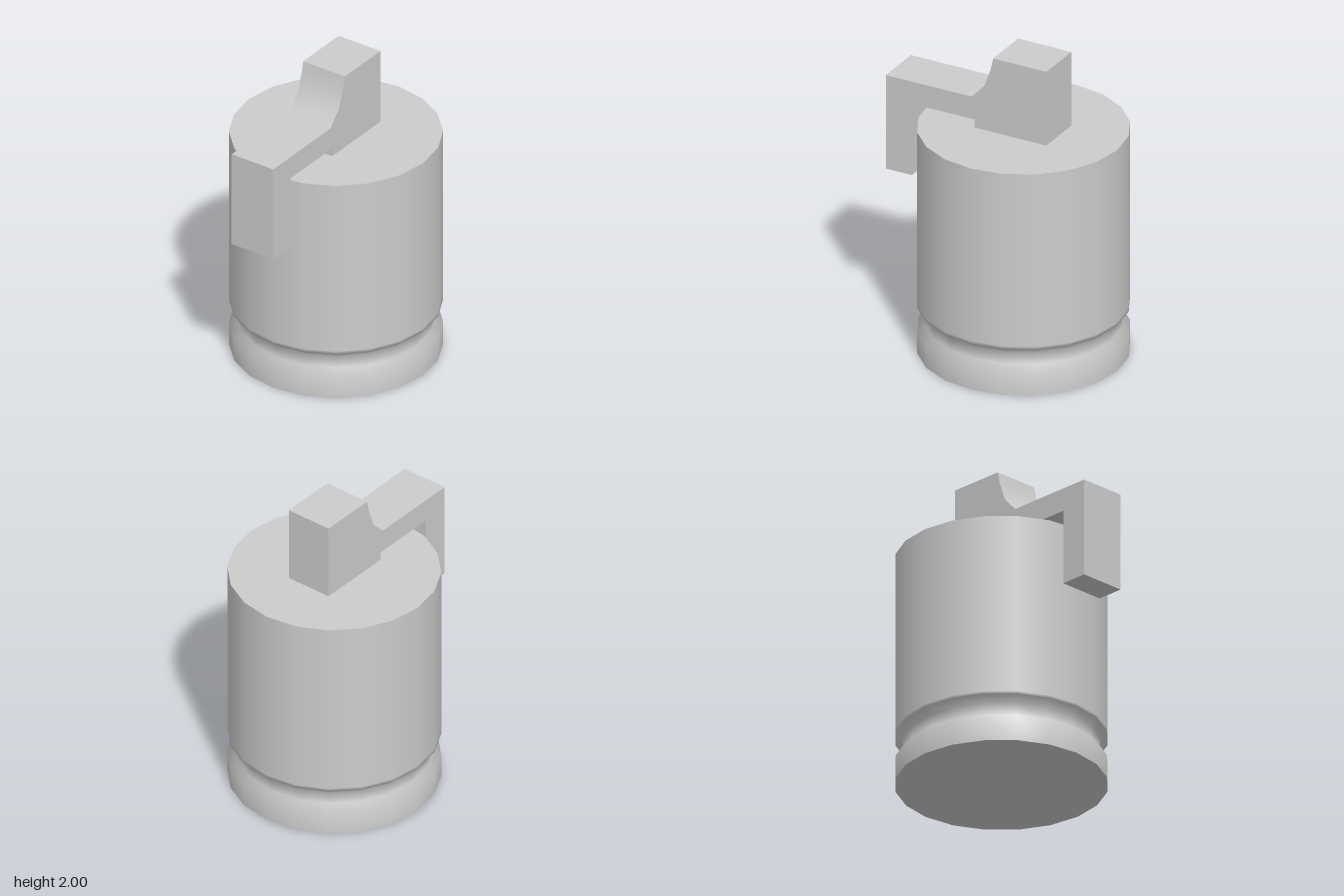
import * as THREE from 'three';
import { toCreasedNormals } from 'three/addons/utils/BufferGeometryUtils.js';

const SIDES = 20, RADIUS = 0.65, BODY_X = 0.11, BODY_TOP = 1.5, HANDLE_WIDTH = 0.31;
const points = list => list.map(([x, y]) => new THREE.Vector2(x, y));

export function createModel() {
  const model = new THREE.Group();
  const grey = new THREE.MeshStandardMaterial({ color: 0xcccccc });
  grey.name = 'plain grey';

  const add = (name, geometry, parent) => {
    const mesh = new THREE.Mesh(geometry, grey);
    mesh.name = name;
    parent.add(mesh);
    return mesh;
  };

  // Round body with a shallow groove near the foot
  const body = new THREE.Group();
  body.name = 'body';
  body.position.x = BODY_X;
  model.add(body);
  add('bodyWall', new THREE.LatheGeometry(points([
    [RADIUS, 0], [RADIUS, 0.15], [0.605, 0.19], [0.605, 0.27],
    [RADIUS, 0.31], [RADIUS, 0.33], [RADIUS, BODY_TOP],
  ]), SIDES), body);

  // Flat ends
  const disc = new THREE.CircleGeometry(RADIUS, SIDES);
  const lid = add('bodyTop', disc, body);
  lid.rotation.x = -Math.PI / 2;
  lid.position.y = BODY_TOP;
  add('bodyBottom', disc, body).rotation.x = Math.PI / 2;

  // Hooked lever: block on top, curved shoulder, arm and hanging grip
  const outline = new THREE.Shape(points([
    [-0.76, 1.07], [-0.58, 1.07], [-0.58, 1.555], [-0.145, 1.555],
    [-0.145, BODY_TOP], [0.355, BODY_TOP], [0.355, 2], [-0.015, 2],
    [-0.03, 1.93], [-0.075, 1.8], [-0.165, 1.705], [-0.76, 1.705],
  ]));
  const lever = new THREE.ExtrudeGeometry(outline, { depth: HANDLE_WIDTH, bevelEnabled: false });
  lever.translate(0, 0, -HANDLE_WIDTH / 2);
  add('lever', toCreasedNormals(lever, 0.5), model);

  return model;
}
